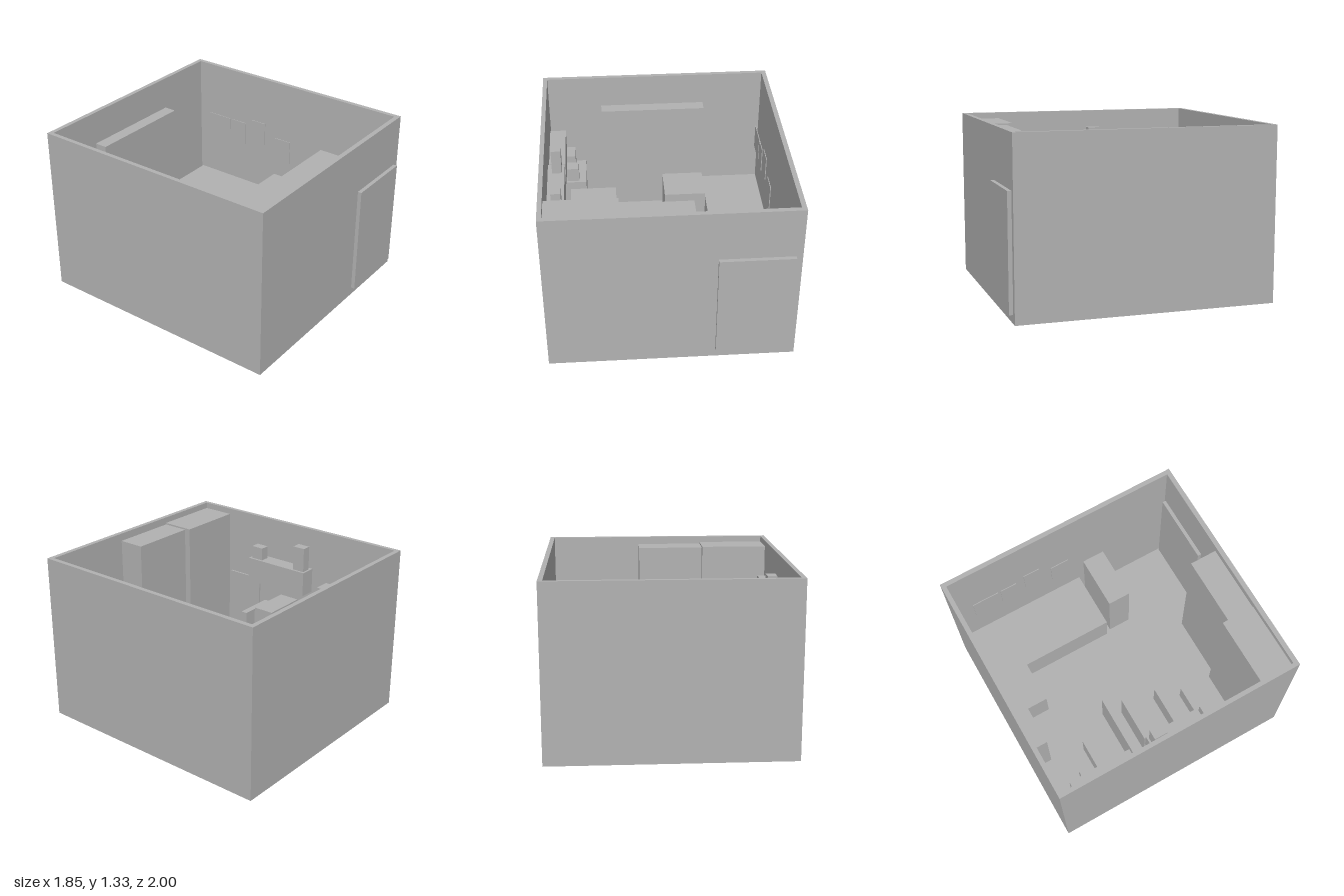
import * as THREE from 'three';

const grey = new THREE.MeshStandardMaterial({ color: 0xb2b2b2 });
grey.name = 'plain grey';

const FLOOR = 0.06;

// Axis-aligned block given by its extents on each axis
function block(name, [x0, x1], [y0, y1], [z0, z1]) {
  const mesh = new THREE.Mesh(new THREE.BoxGeometry(x1 - x0, y1 - y0, z1 - z0), grey);
  mesh.position.set((x0 + x1) / 2, (y0 + y1) / 2, (z0 + z1) / 2);
  mesh.name = name;
  return mesh;
}

// Rectangle path on the ground plan; plan y is -z
function rect(path, x0, x1, z0, z1) {
  path.moveTo(x0, -z1);
  path.lineTo(x1, -z1);
  path.lineTo(x1, -z0);
  path.lineTo(x0, -z0);
  path.closePath();
  return path;
}

export function createModel() {
  const room = new THREE.Group();
  room.name = 'furnishedRoom';
  const add = (...args) => room.add(block(...args));

  // Open-topped shell: ring of walls and a floor slab
  const plan = rect(new THREE.Shape(), -0.923, 0.923, -1, 0.97);
  plan.holes.push(rect(new THREE.Path(), -0.89, 0.887, -0.965, 0.933));
  const wallGeometry = new THREE.ExtrudeGeometry(plan, { depth: 1.333, bevelEnabled: false });
  wallGeometry.rotateX(-Math.PI / 2);
  const walls = new THREE.Mesh(wallGeometry, grey);
  walls.name = 'walls';
  room.add(walls);
  add('floor', [-0.9, 0.9], [0, FLOOR], [-0.98, 0.95]);
  add('door', [0.325, 0.875], [0.065, 0.933], [0.905, 1]);

  // Tall cupboards along the front wall
  add('wideCupboard', [-0.89, -0.36], [FLOOR, 1.285], [0.67, 0.933]);
  add('shallowCupboard', [-0.36, 0.17], [FLOOR, 1.272], [0.72, 0.933]);

  // Back wall: hanging cabinet and a low stand under it
  add('wallCabinet', [-0.455, 0.4], [0.55, 1.07], [-0.965, -0.865]);
  add('bedsideStand', [0.06, 0.408], [FLOOR, 0.35], [-0.965, -0.645]);

  // Left wall: bed, chest and thin pictures
  add('bed', [0.408, 0.885], [FLOOR, 0.32], [-0.95, 0.115]);
  add('chest', [0.43, 0.865], [FLOOR, 0.624], [0.155, 0.34]);
  const pictures = [[-0.83, -0.61, 0.9], [-0.59, -0.45, 0.9], [-0.38, -0.245, 0.95], [-0.145, 0.01, 0.85]];
  for (const [z0, z1, top] of pictures) {
    add('picture', [0.841, 0.847], [top - 0.2, top], [z0, z1]);
  }

  // Back corner: sideboard with two small appliances
  add('sideboard', [-0.89, -0.605], [FLOOR, 0.54], [-0.945, -0.615]);
  add('tallAppliance', [-0.835, -0.69], [0.54, 0.68], [-0.945, -0.8]);
  add('smallAppliance', [-0.765, -0.665], [0.54, 0.66], [-0.735, -0.635]);

  // Right wall: hanging shelves with ornaments, and a thin board
  add('backShelf', [-0.89, -0.76], [0.7, 0.905], [-0.855, -0.35]);
  add('deskShelf', [-0.89, -0.76], [0.79, 0.995], [-0.21, 0.355]);
  add('tallOrnament', [-0.855, -0.78], [0.995, 1.195], [-0.195, -0.09]);
  add('shortOrnament', [-0.855, -0.78], [0.995, 1.1], [0.23, 0.335]);
  add('wallBoard', [-0.88, -0.865], [0.5, 0.78], [0.32, 0.635]);

  // Desk with its equipment and a seat on either side
  add('desk', [-0.86, -0.2], [FLOOR, 0.45], [-0.275, 0.285]);
  add('deskBox', [-0.72, -0.365], [0.45, 0.77], [-0.19, -0.02]);
  add('screen', [-0.715, -0.395], [0.45, 0.68], [0.09, 0.14]);
  add('keyboard', [-0.665, -0.445], [0.45, 0.465], [0.155, 0.26]);
  add('backSeat', [-0.667, -0.385], [FLOOR, 0.3], [-0.56, -0.315]);
  add('frontSeat', [-0.67, -0.395], [FLOOR, 0.3], [0.355, 0.6]);

  return room;
}
